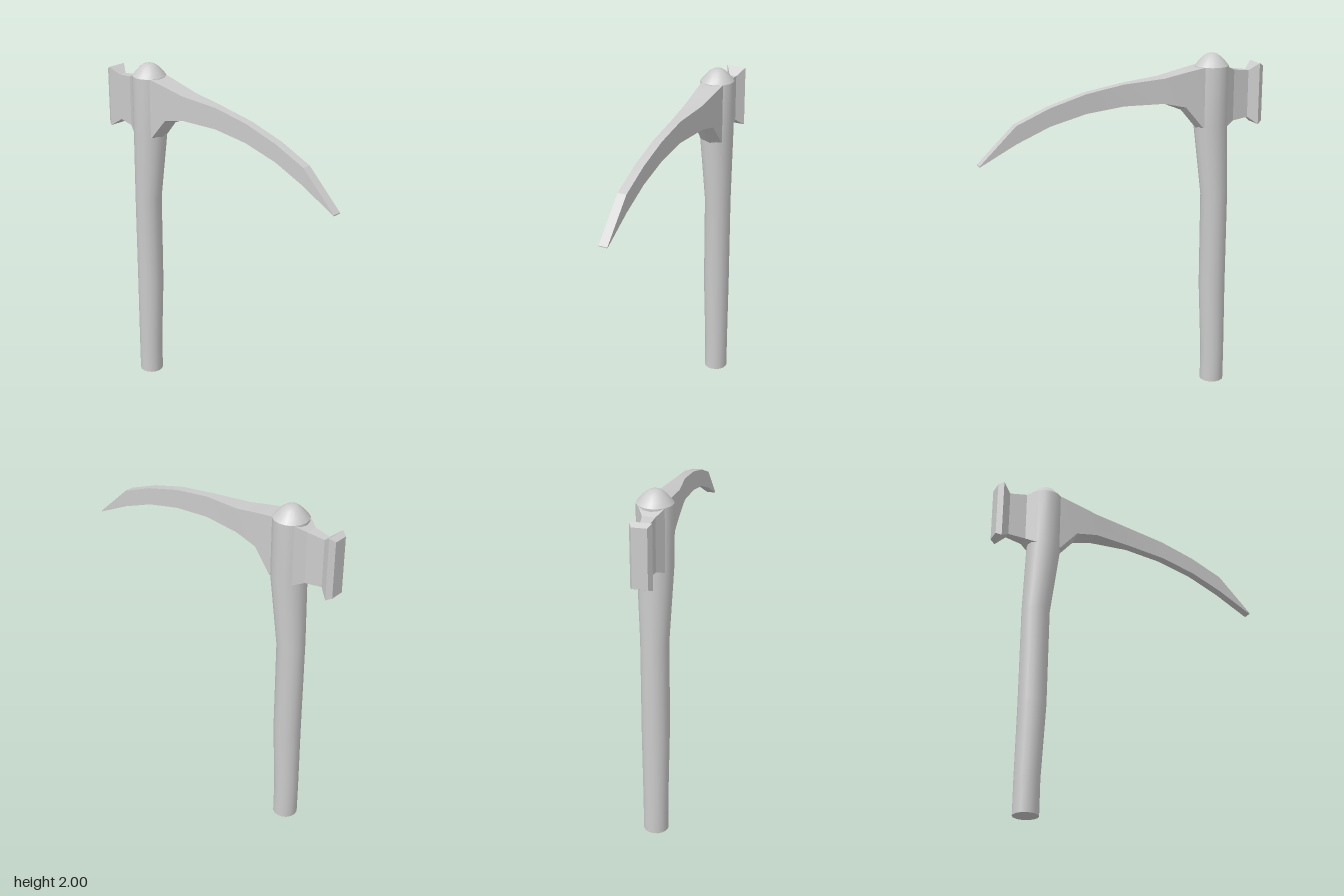
import * as THREE from 'three';
import { toCreasedNormals } from 'three/addons/utils/BufferGeometryUtils.js';

const material = new THREE.MeshStandardMaterial({ color: 0xcccccc });

// Skin a closed solid over equal-length rings of [x, y, z] points.
function loft(name, rings, crease) {
  const n = rings[0].length, last = (rings.length - 1) * n, index = [];
  for (let i = 0; i < rings.length - 1; i++) {
    for (let j = 0; j < n; j++) {
      const a = i * n + j, b = i * n + (j + 1) % n;
      index.push(a, b, b + n, a, b + n, a + n);
    }
  }
  for (let j = 1; j < n - 1; j++) {
    index.push(0, j + 1, j, last, last + j, last + j + 1);
  }
  const geometry = new THREE.BufferGeometry();
  geometry.setAttribute('position', new THREE.Float32BufferAttribute(rings.flat(2), 3));
  geometry.setIndex(index);
  const mesh = new THREE.Mesh(toCreasedNormals(geometry, crease), material);
  mesh.name = name;
  return mesh;
}

// Horizontal elliptical ring from xMin to xMax with half depth rz.
function ellipse([y, xMin, xMax, rz], sides = 16) {
  return Array.from({ length: sides }, (_, j) => {
    const t = (j / sides) * Math.PI * 2;
    return [(xMin + xMax) / 2 + Math.sin(t) * (xMax - xMin) / 2, y, Math.cos(t) * rz];
  });
}

// Upright section of the head; keel is the height of the underside's centre line.
function section([x, bottom, top, z, keel = bottom, keelX = x]) {
  return [[x, bottom, -z], [x, top, -z], [x, top, z], [x, bottom, z], [keelX, keel, 0]];
}

export function createModel() {
  const group = new THREE.Group();

  // Slightly curved shaft swelling into the socket
  const shaft = [
    [0, -0.65, -0.51, 0.07],
    [0.2, -0.65, -0.51, 0.07],
    [0.62, -0.645, -0.49, 0.077],
    [1.18, -0.645, -0.488, 0.077],
    [1.6, -0.63, -0.436, 0.097],
    [1.93, -0.63, -0.436, 0.097],
  ];
  group.add(loft('handle', shaft.map((r) => ellipse(r)), 0.6));

  // Rounded cap on the end of the shaft
  const cap = [[1.93, 0.097], [1.955, 0.076], [1.98, 0.052], [1.995, 0.03], [2, 0.012]];
  group.add(loft('cap', cap.map(([y, r]) => ellipse([y, -0.533 - r, -0.533 + r, r])), 0.6));

  // Curved pick blade: x, bottom, top, half thickness, keel height, keel x
  const blade = [
    [-0.5, 1.59, 1.93, 0.066],
    [-0.455, 1.59, 1.93, 0.065, 1.58, -0.44],
    [-0.35, 1.715, 1.911, 0.058, 1.692, -0.345],
    [-0.22, 1.745, 1.885, 0.05],
    [0.01, 1.745, 1.866, 0.026],
    [0.23, 1.722, 1.83, 0.025],
    [0.44, 1.67, 1.77, 0.025],
    [0.63, 1.592, 1.69, 0.025],
    [0.838, 1.485, 1.491, 0.025],
  ];
  group.add(loft('pickBlade', blade.map(section), 0.2));

  // Hammer poll with a flared striking face
  const hammer = [
    [-0.84, 1.595, 1.915, 0.04],
    [-0.81, 1.58, 1.932, 0.057],
    [-0.758, 1.62, 1.89, 0.021],
    [-0.66, 1.61, 1.902, 0.034],
    [-0.6, 1.585, 1.93, 0.068],
    [-0.54, 1.585, 1.93, 0.068],
  ];
  group.add(loft('hammerPoll', hammer.map(section), 0.2));

  return group;
}
